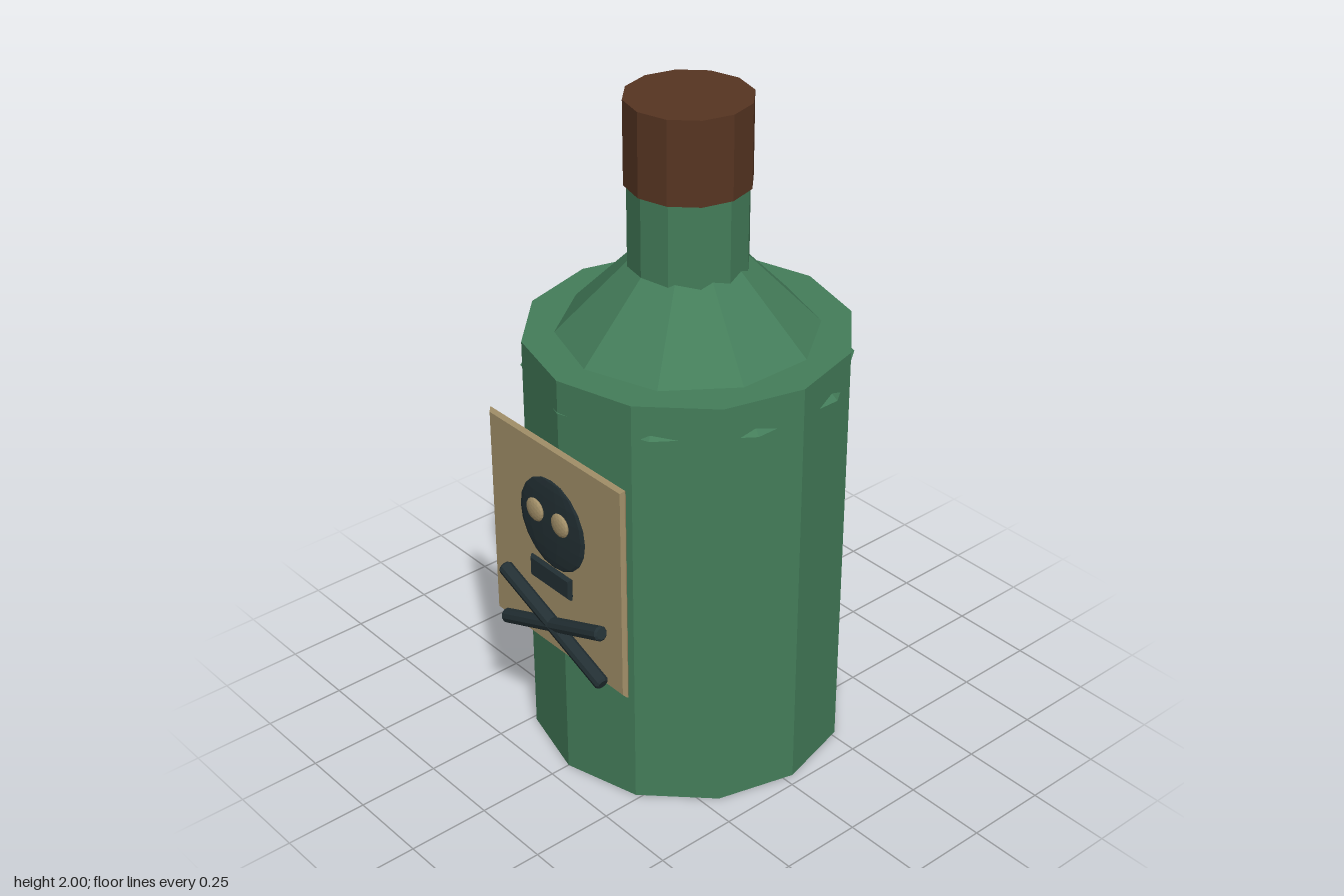
import * as THREE from 'three';

const paint = (name, color) => {
  const m = new THREE.MeshStandardMaterial({ color });
  m.name = name;
  m.flatShading = true;
  return m;
};

export function createModel() {
  const glass = paint('green glass', 0x447d5a);
  const cork = paint('brown cork', 0x573522);
  const paper = paint('tan paper', 0xa39069);
  const ink = paint('dark ink', 0x233034);

  const model = new THREE.Group();
  model.name = 'poisonBottle';
  const add = (parent, name, geometry, material, x, y, z) => {
    const mesh = new THREE.Mesh(geometry, material);
    mesh.name = name;
    mesh.position.set(x, y, z);
    parent.add(mesh);
    return mesh;
  };

  // Bottle: stacked low-poly cylinders sharing one axis
  const bottle = new THREE.Group();
  bottle.name = 'bottle';
  bottle.position.z = -0.031;
  model.add(bottle);
  const ring = (name, rTop, rBottom, y0, y1, sides, material) =>
    add(bottle, name, new THREE.CylinderGeometry(rTop, rBottom, y1 - y0, sides), material, 0, (y0 + y1) / 2, 0);
  ring('body', 0.469, 0.469, 0, 1.31, 12, glass);
  ring('shoulder', 0.13, 0.471, 1.21, 1.56, 10, glass); // its corners just pierce the body
  ring('neck', 0.171, 0.171, 1.4, 1.76, 12, glass);
  ring('stopper', 0.179, 0.179, 1.755, 2, 12, cork);

  // Plate with bevelled rims, centred on its own origin
  const plate = (w, h, d, bevel) => {
    const x = w / 2 - bevel, y = h / 2 - bevel;
    const shape = new THREE.Shape([
      new THREE.Vector2(-x, -y), new THREE.Vector2(x, -y),
      new THREE.Vector2(x, y), new THREE.Vector2(-x, y),
    ]);
    const g = new THREE.ExtrudeGeometry(shape, {
      depth: d - 2 * bevel, bevelEnabled: true, bevelSize: bevel, bevelThickness: bevel, bevelSegments: 1,
    });
    return g.translate(0, 0, bevel - d / 2);
  };

  // Paper label with a raised warning sign
  const label = new THREE.Group();
  label.name = 'label';
  model.add(label);
  add(label, 'labelPaper', plate(0.586, 0.68, 0.021, 0.009), paper, -0.002, 0.764, 0.446);

  const skull = new THREE.SphereGeometry(1, 14, 10);
  skull.scale(0.143, 0.143, 0.011);
  add(label, 'skull', skull, ink, 0, 0.865, 0.467);
  add(label, 'jaw', plate(0.177, 0.068, 0.018, 0.006), ink, -0.002, 0.692, 0.475);

  for (const side of [-1, 1]) {
    const eye = new THREE.IcosahedronGeometry(1, 2);
    eye.scale(0.036, 0.036, 0.012);
    add(label, side > 0 ? 'leftEye' : 'rightEye', eye, paper, side * 0.055, 0.895, 0.484);

    // Crossed bones: slim rods with chamfered ends
    const half = 0.237, r = 0.022;
    const profile = [[0, -half], [r * 0.75, -half], [r, -half + 0.006], [r, half - 0.006], [r * 0.75, half], [0, half]]
      .map(([x, y]) => new THREE.Vector2(x, y));
    const bone = add(label, side > 0 ? 'risingBone' : 'fallingBone', new THREE.LatheGeometry(profile, 10), ink, 0, 0.532, 0.478);
    bone.rotation.z = Math.PI / 2 + side * 0.375;
  }
  return model;
}
